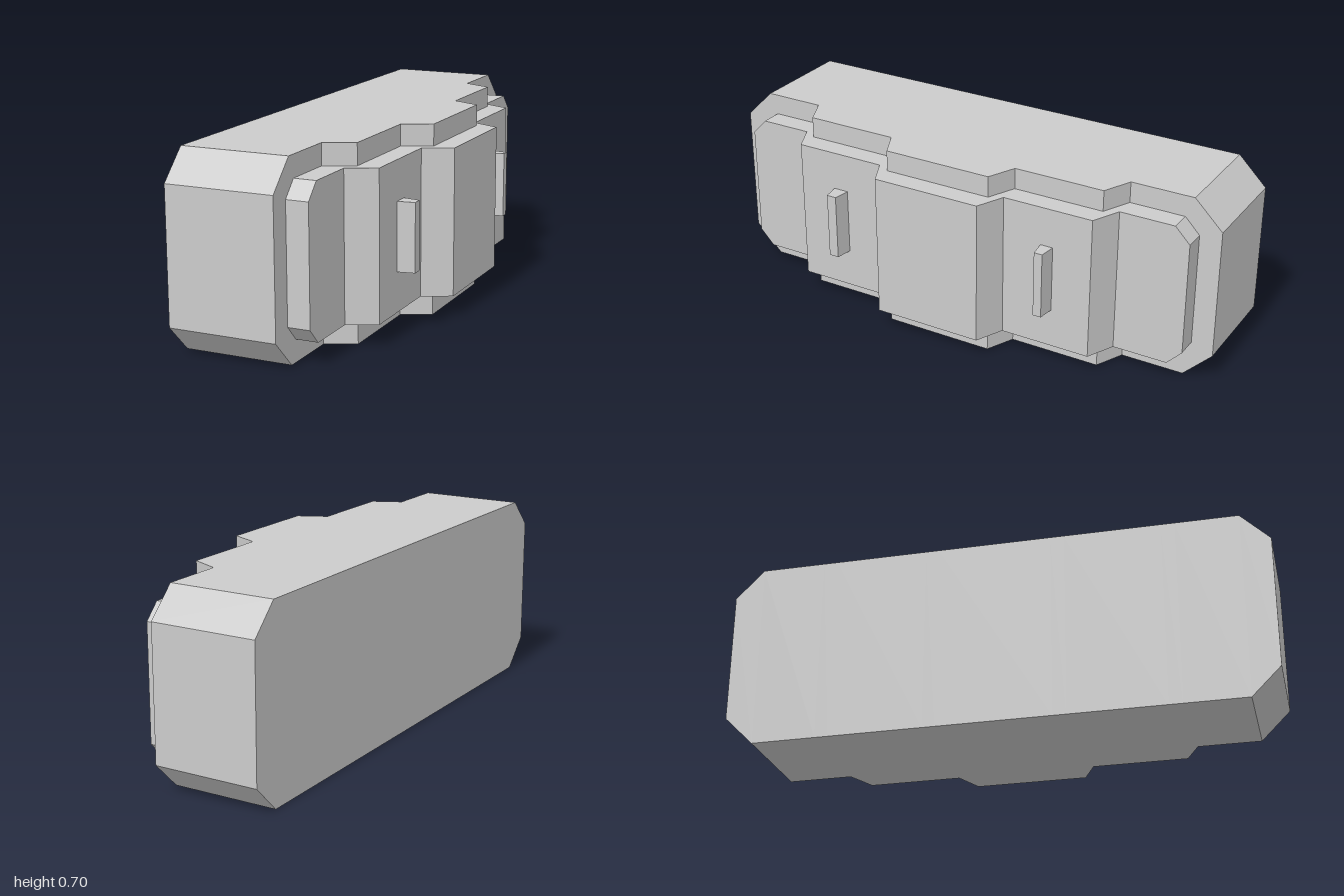
import * as THREE from 'three';

const material = new THREE.MeshStandardMaterial({ color: 0xcccccc, flatShading: true, side: THREE.DoubleSide });

// Joins rectangular cross-sections [z, outerX, lowY, highY] running from -z to +z
function loft(backX, sections) {
  const pos = [];
  const quad = (a, b, c, d) => [a, b, c, a, c, d].forEach(p => pos.push(...p));
  const rings = sections.map(([z, x, lo, hi]) => [[backX, lo, z], [x, lo, z], [x, hi, z], [backX, hi, z]]);
  for (let i = 0; i < rings.length - 1; i++) {
    const a = rings[i], b = rings[i + 1];
    for (let k = 0; k < 4; k++) {
      const n = (k + 1) % 4;
      quad(a[k], a[n], b[n], b[k]);
    }
  }
  quad(...rings[0].slice().reverse());
  quad(...rings[rings.length - 1]);
  const geo = new THREE.BufferGeometry();
  geo.setAttribute('position', new THREE.Float32BufferAttribute(pos, 3));
  geo.computeVertexNormals();
  return geo;
}

// Stepped block with chamfered ends; levels are the three outer x depths
function steppedBlock(backX, levels, lo, hi, endZ, chamferZ, chamferY) {
  const [a, b, c] = levels;
  const steps = [[-0.654, a], [-0.604, b], [-0.258, b], [-0.21, c], [0.21, c], [0.26, b], [0.613, b], [0.663, a]];
  return loft(backX, [
    [-endZ, a, lo + chamferY, hi - chamferY],
    [-chamferZ, a, lo, hi],
    ...steps.map(([z, x]) => [z, x, lo, hi]),
    [chamferZ, a, lo, hi],
    [endZ, a, lo + chamferY, hi - chamferY],
  ]);
}

// Upright tab whose plan narrows towards its tip
function tabGeometry(halfBase, halfTip) {
  const plan = new THREE.Shape([[0.2, -halfBase], [0.24, -halfBase], [0.303, -halfTip],
    [0.303, halfTip], [0.24, halfBase], [0.2, halfBase]].map(p => new THREE.Vector2(...p)));
  return new THREE.ExtrudeGeometry(plan, { depth: 0.251, bevelEnabled: false }).rotateX(-Math.PI / 2);
}

export function createModel() {
  const group = new THREE.Group();
  const add = (name, geo) => {
    const mesh = new THREE.Mesh(geo, material);
    mesh.name = name;
    group.add(mesh);
    return mesh;
  };

  // Main body and the raised panel on its left side
  add('body', steppedBlock(-0.348, [0.052, 0.16, 0.266], 0, 0.703, 1, 0.893, 0.106));
  add('sidePanel', steppedBlock(0, [0.134, 0.24, 0.346], 0.08, 0.624, 0.918, 0.862, 0.058));

  // Two handle tabs
  add('frontTab', tabGeometry(0.029, 0.019)).position.set(0, 0.227, 0.438);
  add('rearTab', tabGeometry(0.024, 0.016)).position.set(0, 0.227, -0.431);
  return group;
}
